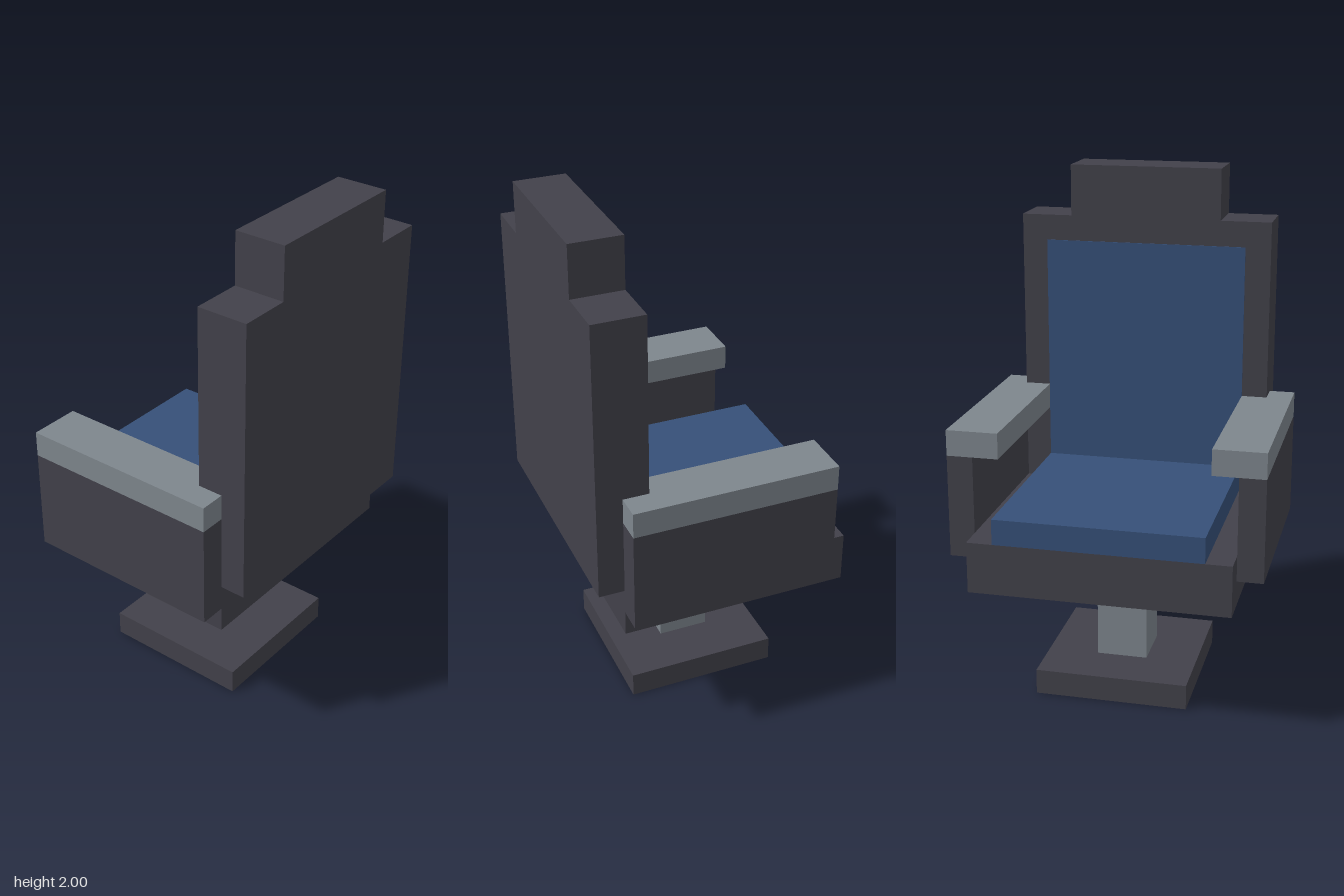
import * as THREE from 'three';

const material = (name, color) => {
  const m = new THREE.MeshStandardMaterial({ color });
  m.name = name;
  return m;
};

export function createModel() {
  const chair = new THREE.Group();
  chair.name = 'swivelChair';

  const frame = material('charcoal frame', 0x42414a);
  const fabric = material('blue fabric', 0x365078);
  const metal = material('grey metal', 0x7e868d);

  // Box given by its extents on each axis
  const box = (name, mat, [x0, x1], [y0, y1], [z0, z1]) => {
    const mesh = new THREE.Mesh(new THREE.BoxGeometry(x1 - x0, y1 - y0, z1 - z0), mat);
    mesh.position.set((x0 + x1) / 2, (y0 + y1) / 2, (z0 + z1) / 2);
    mesh.name = name;
    chair.add(mesh);
  };

  // Pedestal
  box('footPlate', frame, [-0.3, 0.3], [0, 0.1], [-0.3, 0.3]);
  box('post', metal, [-0.1, 0.1], [0.1, 0.5], [-0.1, 0.1]);

  // Seat, open towards -z
  box('seatBase', frame, [-0.5, 0.5], [0.5, 0.7], [-0.5, 0.4]);
  box('seatCushion', fabric, [-0.4, 0.4], [0.7, 0.8], [-0.5, 0.3]);

  // Backrest with a thin inset-coloured pad
  box('backrest', frame, [-0.5, 0.5], [0.7, 1.8], [0.3, 0.5]);
  box('headrest', frame, [-0.3, 0.3], [1.8, 2], [0.3, 0.5]);
  box('backPad', fabric, [-0.4, 0.4], [0.8, 1.7], [0.296, 0.3]);

  // Arms, mirrored; the caps overhang inwards
  for (const [side, s] of [['left', 1], ['right', -1]]) {
    const span = (a, b) => (s > 0 ? [a, b] : [-b, -a]);
    box(side + 'ArmPanel', frame, span(0.5, 0.6), [0.6, 1], [-0.4, 0.4]);
    box(side + 'ArmCap', metal, span(0.4, 0.6), [1, 1.1], [-0.4, 0.4]);
  }

  return chair;
}
